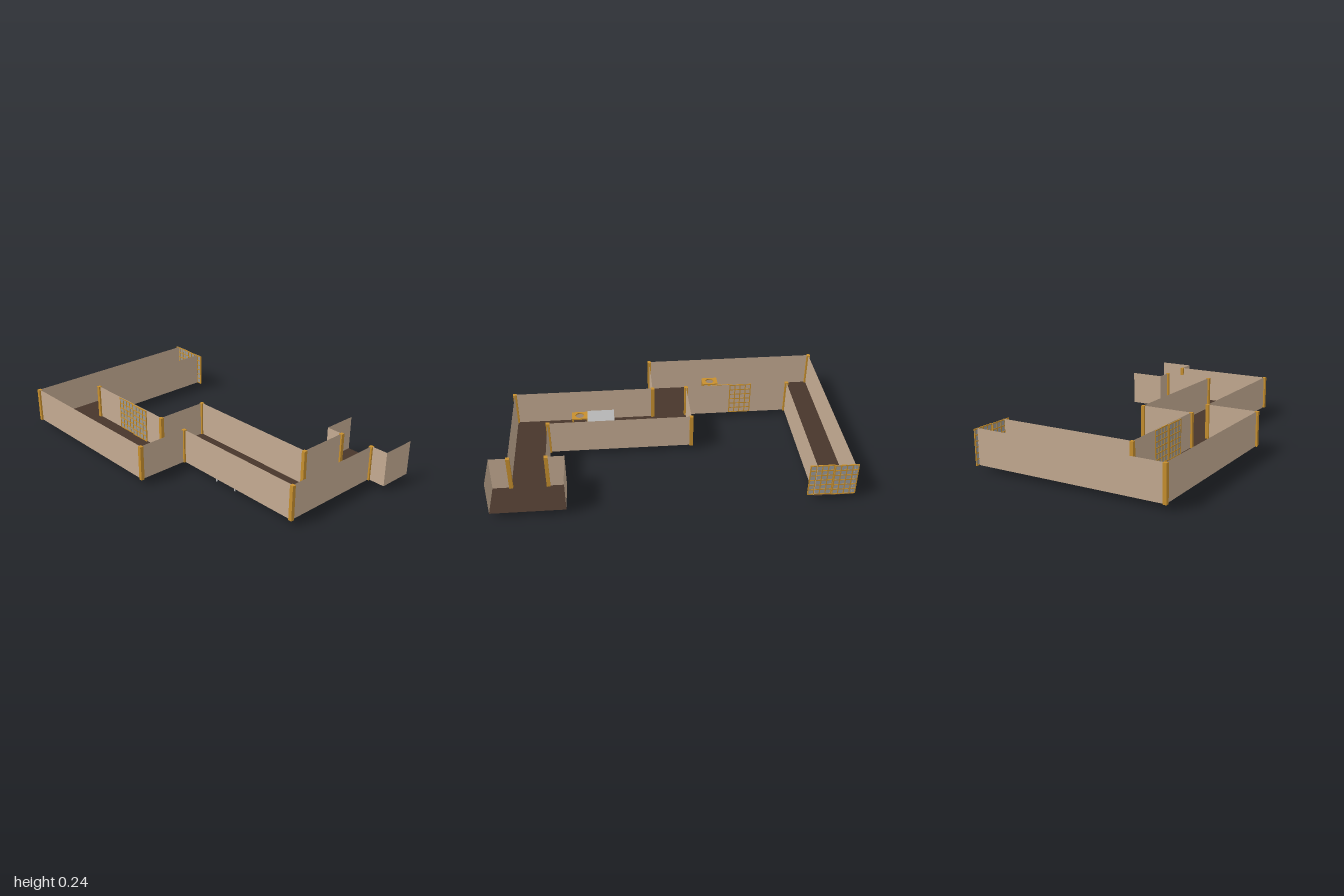
import * as THREE from 'three';

const mat = (color) => new THREE.MeshStandardMaterial({ color, side: THREE.DoubleSide });
const plaster = mat(0xc4ab92), wood = mat(0xc78f2e), darkWood = mat(0x48362b), grey = mat(0xb4b4b4), paper = mat(0x9a9a9a);

const FLOOR = 0.032, TOP = 0.237, HEIGHT = TOP - FLOOR;

// Plan outline [x, z]; the back ends of the corridor and the end room stay open
const innerRun = [[0.585, -0.577], [0.585, -0.368], [0.687, -0.368], [0.687, -0.06], [-0.146, -0.06],
  [-0.146, 0.255], [-0.77, 0.255], [-0.77, -0.577]];
const outerRun = [[-0.977, -0.577], [-0.977, 0.564], [0.06, 0.564], [0.06, 0.255], [0.894, 0.255],
  [0.894, -0.368], [0.998, -0.368], [0.998, -0.577]];

function box(parent, name, size, pos, material) {
  const mesh = new THREE.Mesh(new THREE.BoxGeometry(...size), material);
  mesh.position.set(...pos);
  mesh.name = name;
  parent.add(mesh);
  return mesh;
}

function group(parent, name) {
  const g = new THREE.Group();
  g.name = name;
  parent.add(g);
  return g;
}

// Thin upright walls along a run of plan points
function addWalls(parent, run) {
  for (let i = 0; i < run.length - 1; i++) {
    const [ax, az] = run[i], [bx, bz] = run[i + 1];
    const wall = new THREE.Mesh(new THREE.PlaneGeometry(Math.hypot(bx - ax, bz - az), HEIGHT), plaster);
    wall.position.set((ax + bx) / 2, (FLOOR + TOP) / 2, (az + bz) / 2);
    wall.rotation.y = -Math.atan2(bz - az, bx - ax);
    wall.name = 'wall';
    parent.add(wall);
  }
}

// Lattice screen leaf: thin pane with bars standing proud on both faces
function addScreen(parent, x, z) {
  const leaf = group(parent, 'slidingScreen');
  const w = 0.134, h = HEIGHT - 0.002, bar = 0.006, depth = 0.006;
  leaf.position.set(x, (FLOOR + TOP) / 2, z);
  box(leaf, 'pane', [w, h, 0.001], [0, 0, 0], paper);
  for (let i = 0; i <= 4; i++) {
    box(leaf, 'uprightBar', [bar, h, depth], [(i / 4 - 0.5) * (w - bar), 0, 0], wood);
  }
  for (let i = 0; i <= 6; i++) {
    box(leaf, 'crossBar', [w, bar, depth], [0, (i / 6 - 0.5) * (h - bar), 0], wood);
  }
}

// Four legs at the corners of a w x d rectangle, from y0 to y1
function addLegs(parent, w, d, y0, y1, t, material) {
  for (const sx of [-1, 1]) for (const sz of [-1, 1]) {
    box(parent, 'leg', [t, y1 - y0, t], [sx * w / 2, (y0 + y1) / 2, sz * d / 2], material);
  }
}

// Small wooden stand with a round opening in its top
function addStand(parent, x, z) {
  const stand = group(parent, 'stand');
  stand.position.set(x, 0, z);
  const w = 0.098, d = 0.072, top = 0.1, t = 0.008;
  const s = new THREE.Shape([[-1, -1], [1, -1], [1, 1], [-1, 1]].map(([a, b]) => new THREE.Vector2(a * w / 2, b * d / 2)));
  s.holes.push(new THREE.Path().absarc(0, 0, 0.026, 0, Math.PI * 2, true));
  const geo = new THREE.ExtrudeGeometry(s, { depth: t, bevelEnabled: false, curveSegments: 24 });
  geo.rotateX(-Math.PI / 2);
  const slab = new THREE.Mesh(geo, wood);
  slab.position.y = top - t;
  slab.name = 'standTop';
  stand.add(slab);
  addLegs(stand, w - 0.01, d - 0.008, 0.028, top - t, 0.006, wood);
}

export function createModel() {
  const model = new THREE.Group();
  model.name = 'roomLayout';

  // Floor
  const outline = new THREE.Shape([...innerRun, ...outerRun].map(([x, z]) => new THREE.Vector2(x, -z)));
  const floor = new THREE.Mesh(new THREE.ShapeGeometry(outline).rotateX(-Math.PI / 2), darkWood);
  floor.position.y = FLOOR;
  floor.name = 'floor';
  model.add(floor);

  // Walls
  const walls = group(model, 'walls');
  addWalls(walls, innerRun);
  addWalls(walls, outerRun);

  // Corner posts, everywhere but in the end room
  const posts = group(model, 'cornerPosts');
  for (const [x, z] of [...innerRun.slice(2, 7), ...outerRun.slice(1, 6)]) {
    box(posts, 'cornerPost', [0.021, HEIGHT, 0.021], [x, (FLOOR + TOP) / 2, z], wood);
  }

  // Sliding screens: corridor end and front room wall
  addScreen(model, -0.933, -0.573);
  addScreen(model, -0.8, -0.567);
  addScreen(model, -0.482, 0.2565);
  addScreen(model, -0.348, 0.262);

  // Stands
  for (const [x, z] of [[-0.876, -0.496], [-0.329, 0.52], [0.511, 0.201]]) addStand(model, x, z);

  // Grey table whose legs pass through the floor
  const table = group(model, 'table');
  table.position.set(0.383, 0, 0.18);
  box(table, 'tableTop', [0.163, 0.008, 0.118], [0, 0.1, 0], grey);
  addLegs(table, 0.145, 0.104, 0, 0.096, 0.007, grey);

  return model;
}
